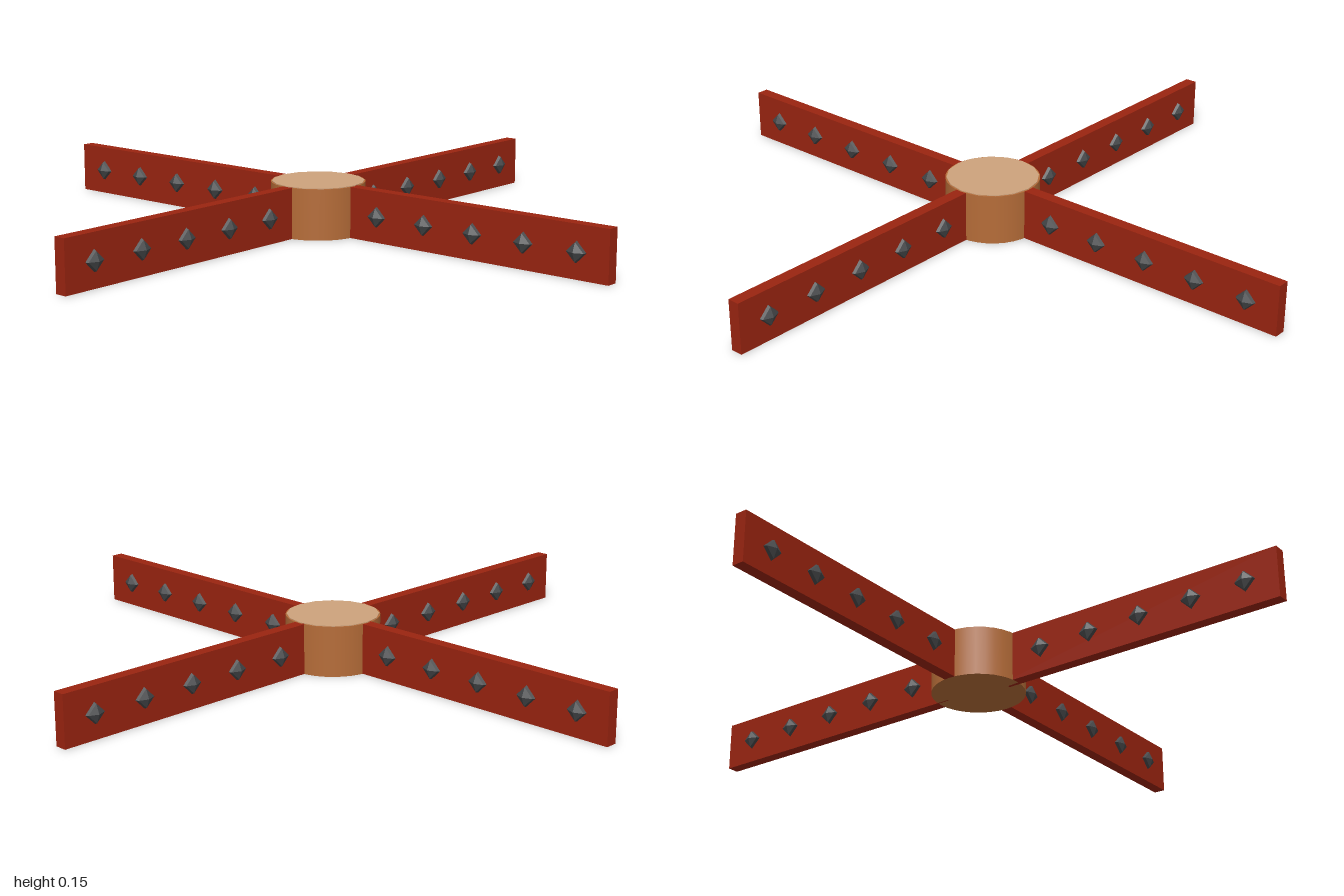
import * as THREE from 'three';

const mat = (name, color) => {
  const m = new THREE.MeshStandardMaterial({ color });
  m.name = name;
  return m;
};

export function createModel() {
  const red = mat('red paint', 0x9a2410);
  const wood = mat('brown hub', 0xb56c38);
  const tan = mat('tan cap', 0xcda27c);
  const iron = mat('dark iron', 0x454749);
  iron.flatShading = true;

  const model = new THREE.Group();
  model.name = 'crossBlades';
  const H = 0.15;

  const add = (parent, name, geometry, material, x, y, z) => {
    const mesh = new THREE.Mesh(geometry, material);
    mesh.name = name;
    mesh.position.set(x, y, z);
    parent.add(mesh);
    return mesh;
  };

  // Round hub with a thin cap on top
  add(model, 'hub', new THREE.CylinderGeometry(0.139, 0.139, H, 32), wood, 0, H / 2, 0);
  add(model, 'hubCap', new THREE.CylinderGeometry(0.136, 0.136, 0.003, 16), tan, 0, H + 0.0005, 0);

  // Faceted stud: four sides, bulging through the blade along z
  const studGeometry = new THREE.SphereGeometry(0.038, 4, 4);
  studGeometry.rotateX(Math.PI / 2);
  const bladeGeometry = new THREE.BoxGeometry(0.9, H, 0.036);

  // Four blades, each with a row of five studs
  for (let i = 0; i < 4; i++) {
    const arm = new THREE.Group();
    arm.name = 'arm' + (i + 1);
    arm.rotation.y = (i * Math.PI) / 2;
    add(arm, 'blade', bladeGeometry, red, 0.55, H / 2, 0);
    for (let k = 0; k < 5; k++) {
      add(arm, 'stud', studGeometry, iron, 0.235 + k * 0.1665, H / 2, 0);
    }
    model.add(arm);
  }
  return model;
}
